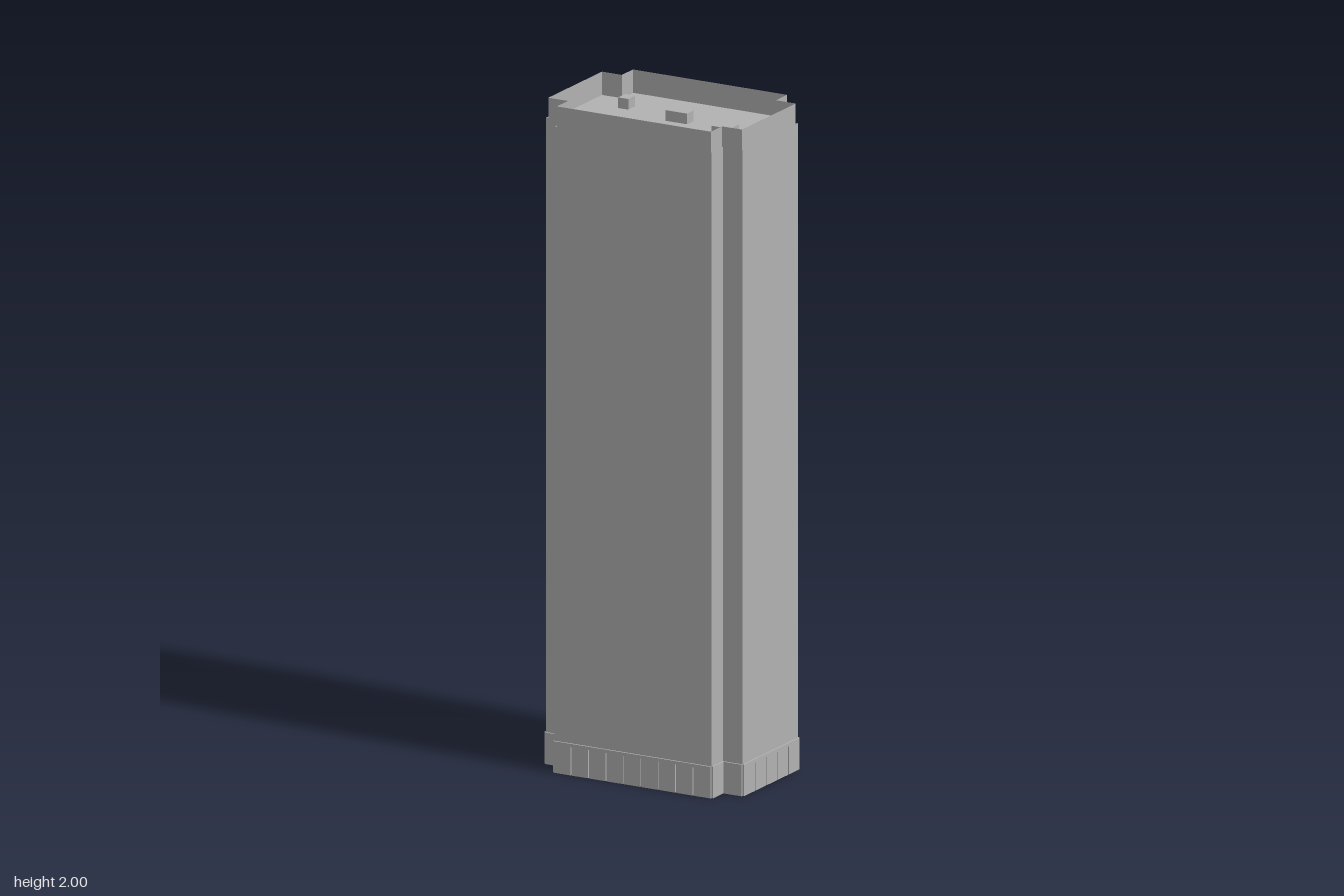
import * as THREE from 'three';

// Cross-shaped plan, grown outward by o
function plan(o) {
  const w = 0.323 + o, m = 0.257 + o, d = 0.218 + o, n = 0.154 + o;
  return [[w, -n], [w, n], [m, n], [m, d], [-m, d], [-m, n],
    [-w, n], [-w, -n], [-m, -n], [-m, -d], [m, -d], [m, -n]];
}

// One group per plan edge: local x runs along the edge, local z points outward
function alongEdges(name, o, fill) {
  const group = new THREE.Group();
  group.name = name;
  const pts = plan(o);
  pts.forEach(([x, z], i) => {
    const [x2, z2] = pts[(i + 1) % pts.length];
    const side = new THREE.Group();
    side.name = name + 'Side';
    side.position.set((x + x2) / 2, 0, (z + z2) / 2);
    side.rotation.y = Math.atan2(z2 - z, x - x2);
    fill(side, Math.hypot(x2 - x, z2 - z));
    group.add(side);
  });
  return group;
}

export function createModel() {
  const model = new THREE.Group();
  model.name = 'towerBlock';
  const concrete = new THREE.MeshStandardMaterial({ color: 0xb2b2b2, side: THREE.DoubleSide });
  concrete.name = 'concrete grey';

  const add = (parent, name, geometry, x, y, z) => {
    const mesh = new THREE.Mesh(geometry, concrete);
    mesh.name = name;
    mesh.position.set(x, y, z);
    parent.add(mesh);
  };
  const wall = (name, o, y0, y1) => alongEdges(name, o, (side, length) =>
    add(side, name + 'Panel', new THREE.PlaneGeometry(length, y1 - y0), 0, (y0 + y1) / 2, 0));

  // Open shell of the tower and the slightly inset parapet
  const roofY = 1.93, baseH = 0.095, thick = 0.005;
  model.add(wall('facade', thick, 0, 1.94));
  model.add(wall('parapet', 0, roofY, 2));

  // Flat roof
  const roof = new THREE.ShapeGeometry(new THREE.Shape(plan(0).map(([x, z]) => new THREE.Vector2(x, -z))));
  roof.rotateX(-Math.PI / 2);
  add(model, 'roof', roof, 0, roofY, 0);

  // Base cladding: a lintel over panels separated by narrow slits
  const slit = 0.004, lintelH = 0.01;
  model.add(alongEdges('baseCladding', thick, (side, length) => {
    const count = Math.max(1, Math.round(length / 0.06));
    const step = length / count;
    add(side, 'lintel', new THREE.BoxGeometry(length, lintelH, thick), 0, baseH - lintelH / 2, thick / 2);
    for (let i = 0; i < count; i++) {
      const left = -length / 2 + i * step + (i > 0 ? slit / 2 : 0);
      const right = -length / 2 + (i + 1) * step - (i < count - 1 ? slit / 2 : 0);
      add(side, 'basePanel', new THREE.BoxGeometry(right - left, baseH - lintelH, thick),
        (left + right) / 2, (baseH - lintelH) / 2, thick / 2);
    }
  }));

  // Rooftop equipment: x, z, width, depth, height
  for (const [x, z, w, d, h] of [
    [-0.199, -0.082, 0.034, 0.04, 0.032],
    [0.004, -0.036, 0.072, 0.035, 0.032],
    [0.181, 0.006, 0.061, 0.053, 0.025],
  ]) add(model, 'rooftopUnit', new THREE.BoxGeometry(w, h, d), x, roofY + h / 2, z);

  return model;
}
